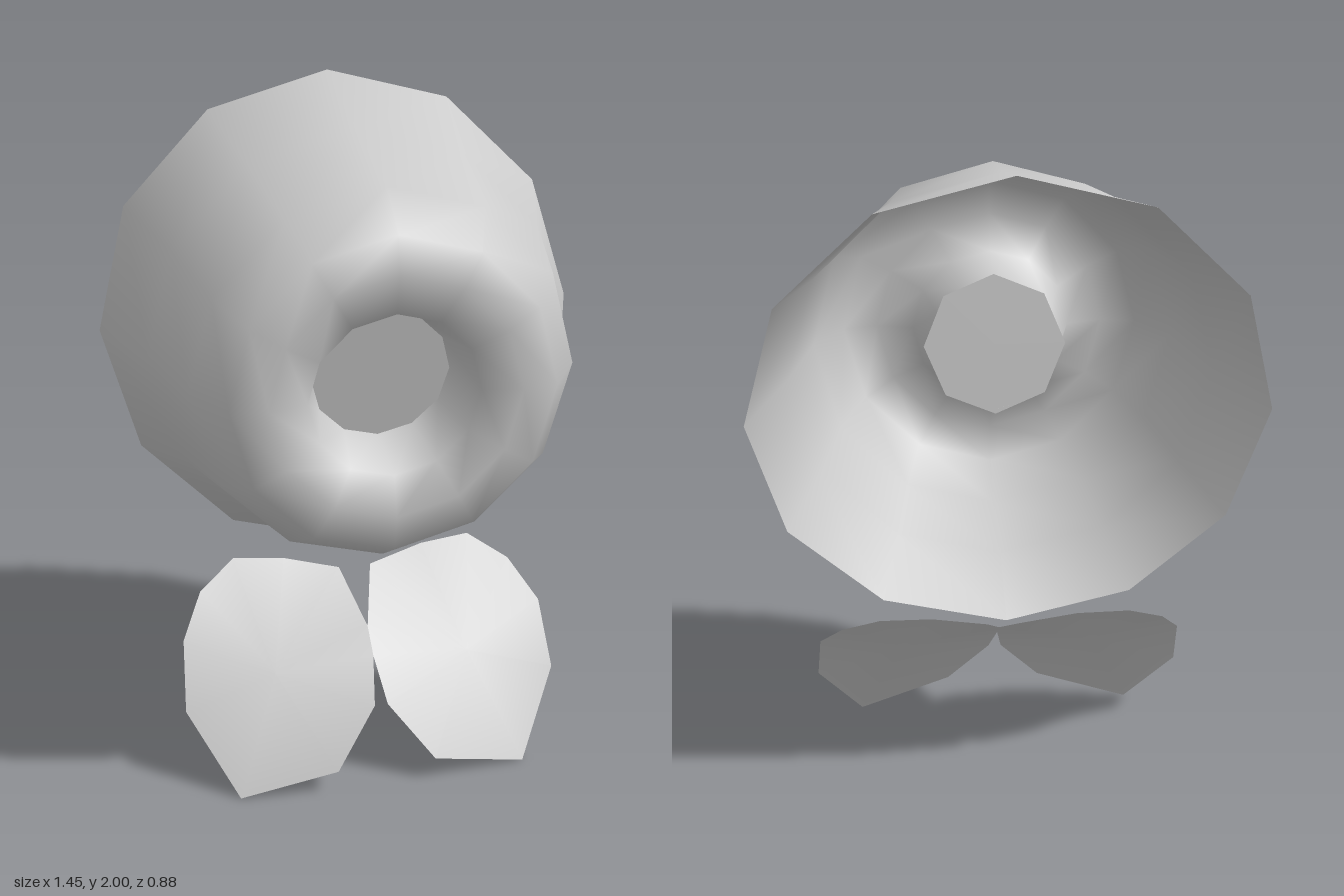
import * as THREE from 'three';

const material = new THREE.MeshStandardMaterial({ color: 0xcccccc, side: THREE.DoubleSide });

function makeMesh(name, positions, index) {
  const geometry = new THREE.BufferGeometry();
  geometry.setAttribute('position', new THREE.Float32BufferAttribute(positions, 3));
  geometry.setIndex(index);
  geometry.computeVertexNormals();
  const mesh = new THREE.Mesh(geometry, material);
  mesh.name = name;
  return mesh;
}

// Open twelve-sided bell lofted through tilted rings, from the flared back
// rim over the rounded front and down the well to the centre plate.
function createBell() {
  const sides = 12;
  // [centre y, x radius, y radius, z, tilt of the top in z]
  const rings = [
    [1.291, 0.724, 0.709, -0.305, -0.135],
    [1.305, 0.615, 0.608, -0.01, -0.05],
    [1.303, 0.543, 0.547, 0.285, 0.01],
    [1.3, 0.453, 0.457, 0.42, 0.005],
    [1.302, 0.35, 0.35, 0.44, 0.003],
    [1.302, 0.24, 0.238, 0.41, 0.01],
    [1.302, 0.197, 0.197, 0.24, 0.032],
  ];
  const positions = [], index = [];
  rings.forEach(([cy, rx, ry, z, tilt], i) => {
    for (let j = 0; j < sides; j++) {
      const a = (j / sides) * Math.PI * 2;
      positions.push(rx * Math.sin(a), cy + ry * Math.cos(a), z + tilt * Math.cos(a));
      if (i === rings.length - 1) continue;
      const p = i * sides + j, q = i * sides + (j + 1) % sides;
      index.push(p, p + sides, q, q, p + sides, q + sides);
    }
  });
  return makeMesh('bell', positions, index);
}

// Curved leaf-shaped flap, fanned out from its middle.
function createFlap(side) {
  const outline = [
    [0, 0.41, 0.09], [0.05, 0.525, -0.09], [0.22, 0.565, -0.115], [0.375, 0.575, -0.13],
    [0.49, 0.51, -0.06], [0.56, 0.41, 0.05], [0.575, 0.23, 0.16], [0.44, 0, 0.31],
    [0.15, 0.077, 0.35], [0.02, 0.24, 0.27], [0, 0.35, 0.165],
  ];
  const n = outline.length;
  const positions = [side * 0.3, 0.32, 0.15], index = [];
  outline.forEach(([x, y, z], i) => {
    positions.push(side * x, y, z);
    const a = i + 1, b = (i + 1) % n + 1;
    index.push(0, ...(side > 0 ? [b, a] : [a, b]));
  });
  return makeMesh(side > 0 ? 'leftFlap' : 'rightFlap', positions, index);
}

export function createModel() {
  const model = new THREE.Group();
  model.name = 'model';
  model.add(createBell());

  // Flat octagonal plate closing the well, leaning slightly forward
  const plate = new THREE.Mesh(new THREE.CircleGeometry(0.214, 8), material);
  plate.name = 'centrePlate';
  plate.position.set(0, 1.302, 0.24);
  plate.rotation.x = 0.16;
  model.add(plate);

  for (const side of [1, -1]) model.add(createFlap(side));
  return model;
}
